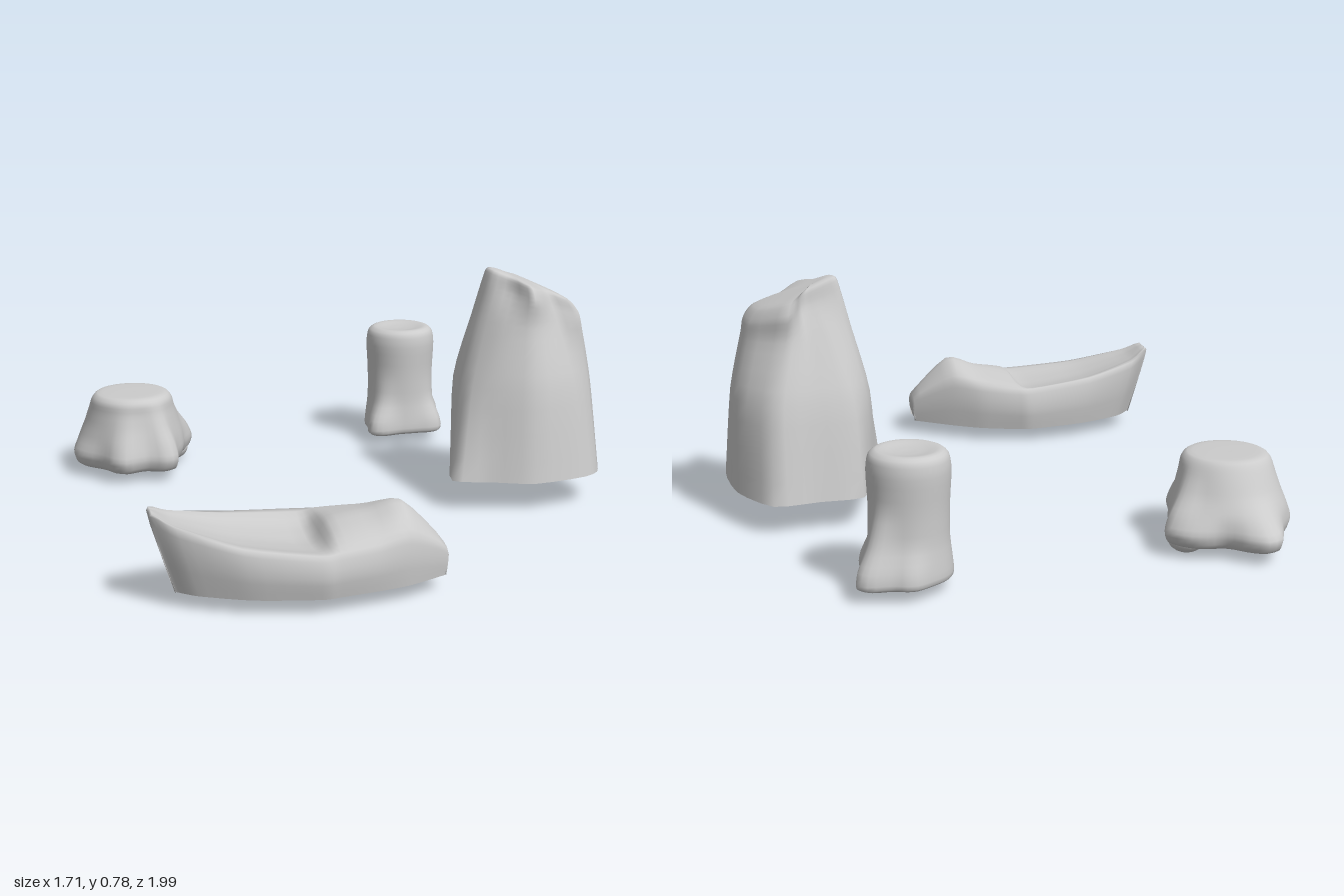
import * as THREE from 'three';
import { mergeVertices } from 'three/addons/utils/BufferGeometryUtils.js';

const material = new THREE.MeshStandardMaterial({ color: 0xcccccc, side: THREE.DoubleSide });
const V = (x, y, z) => new THREE.Vector3(x, y, z);

// Samples a soft curve through the points, steps per span.
function soften(points, closed, steps) {
  const curve = new THREE.CatmullRomCurve3(points, closed, 'catmullrom', 0.35);
  const n = (closed ? points.length : points.length - 1) * steps;
  return Array.from({ length: closed ? n : n + 1 }, (_, i) => curve.getPoint(i / n));
}

// Smooth skin over cross-sections that share one point count.
function skin(name, sections, closed, across = 3, along = 4) {
  const rows = sections.map((s) => soften(s, closed, across));
  const cols = rows[0].map((_, j) => soften(rows.map((r) => r[j]), false, along));
  const nc = cols.length, nr = cols[0].length;
  const position = [], index = [];
  for (let i = 0; i < nr; i++) for (let j = 0; j < nc; j++) position.push(...cols[j][i].toArray());
  for (let i = 0; i < nr - 1; i++) {
    for (let j = 0; j < (closed ? nc : nc - 1); j++) {
      const k = (j + 1) % nc;
      const a = i * nc + j, b = (i + 1) * nc + j, c = i * nc + k, d = (i + 1) * nc + k;
      index.push(a, b, c, b, d, c);
    }
  }
  let geometry = new THREE.BufferGeometry();
  geometry.setAttribute('position', new THREE.Float32BufferAttribute(position, 3));
  geometry.setIndex(index);
  geometry = mergeVertices(geometry, 1e-5);
  geometry.computeVertexNormals();
  const mesh = new THREE.Mesh(geometry, material);
  mesh.name = name;
  return mesh;
}

// Tent: five-cornered cloth, open below, leaning to a knobbly slanted crown.
function tent() {
  const ring = (y, tilt, pts) => pts.map(([x, z]) => V(x, y - tilt * (x - 0.6), z));
  const base = [[0.85, 0.08], [0.78, 0.16], [0.59, 0.205], [0.45, 0.155], [0.33, 0.11],
    [0.38, -0.1], [0.44, -0.28], [0.58, -0.3], [0.73, -0.32], [0.83, -0.15]];
  const waist = [[0.83, 0.03], [0.75, 0.11], [0.6, 0.16], [0.47, 0.1], [0.395, 0.02],
    [0.395, -0.13], [0.46, -0.23], [0.6, -0.25], [0.72, -0.26], [0.82, -0.13]];
  const shoulder = [[0.79, 0.05], [0.71, 0.05], [0.61, 0.1], [0.52, 0.05], [0.46, -0.03],
    [0.45, -0.11], [0.52, -0.16], [0.6, -0.17], [0.67, -0.2], [0.78, -0.09]];
  const crown = [[0.78, 0.04], [0.69, 0.025], [0.61, 0.1], [0.555, 0.01], [0.49, -0.03],
    [0.48, -0.1], [0.56, -0.12], [0.61, -0.13], [0.66, -0.205], [0.77, -0.08]];
  const shrink = (pts, s, cx, cz) => pts.map(([x, z]) => [cx + (x - cx) * s, cz + (z - cz) * s]);
  return skin('tent', [
    ring(0.1, 0, base),
    ring(0.4, 0, waist),
    ring(0.6, 0.1, shoulder),
    ring(0.69, 0.3, crown),
    ring(0.735, 0.38, shrink(crown, 0.84, 0.58, -0.06)),
    ring(0.745, 0.4, shrink(crown, 0.45, 0.56, -0.07)),
    ring(0.745, 0.4, shrink(crown, 0, 0.56, -0.07)),
  ], true);
}

// Boat: raised bow, sunken deck, step up to a humped stern, open below.
function boat() {
  // Stations: keel x, rim x, back z, front z, back rim y, deck y, front rim y.
  const stations = [
    [-0.7, -0.7, 0.74, 0.84, 0.046, 0.046, 0.046],
    [-0.7, -0.77, 0.75, 0.83, 0.27, 0.28, 0.27],
    [-0.64, -0.7, 0.68, 0.885, 0.25, 0.245, 0.25],
    [-0.49, -0.52, 0.605, 0.96, 0.215, 0.185, 0.2],
    [-0.3, -0.3, 0.562, 1.0, 0.195, 0.155, 0.175],
    [-0.24, -0.24, 0.57, 0.99, 0.195, 0.22, 0.178],
    [-0.12, -0.12, 0.61, 0.962, 0.205, 0.245, 0.185],
    [-0.02, -0.02, 0.67, 0.93, 0.21, 0.27, 0.195],
    [0.1, 0.108, 0.76, 0.86, 0.125, 0.135, 0.125],
    [0.1, 0.1, 0.76, 0.86, 0.046, 0.046, 0.046],
  ];
  return skin('boat', stations.map(([xb, xt, zb, zf, yb, yd, yf]) => {
    const w = zf - zb, low = 0.045, xm = (xb + xt) / 2;
    return [
      V(xb, low, zf - 0.03 * w), V(xm, (low + yf) / 2, zf), V(xt, yf, zf - 0.04 * w),
      V(xt, yf * 0.35 + yd * 0.65, zf - 0.25 * w), V(xt, yd, zf - 0.5 * w),
      V(xt, yb * 0.35 + yd * 0.65, zb + 0.25 * w),
      V(xt, yb, zb + 0.04 * w), V(xm, (low + yb) / 2, zb), V(xb, low, zb + 0.03 * w),
    ];
  }), false);
}

// Stump: profile rows [y, radius, root strength, z shift];
// roots [angle in degrees, length, angular width, height].
function stump(name, cx, cz, profile, roots) {
  const n = 32;
  return skin(name, profile.map(([y, r, k, dz = 0]) => Array.from({ length: n }, (_, j) => {
    const a = (j / n) * Math.PI * 2;
    let radius = r;
    for (const [deg, length, width, height] of roots) {
      const d = a - THREE.MathUtils.degToRad(deg);
      const off = Math.atan2(Math.sin(d), Math.cos(d)) / THREE.MathUtils.degToRad(width);
      const rise = Math.max(0, y - 0.06) / height;
      radius += k * length * Math.exp(-off * off - rise * rise);
    }
    return V(cx + radius * Math.cos(a), y, cz + dz + radius * Math.sin(a));
  })), true, 2, 3);
}

export function createModel() {
  const group = new THREE.Group();
  group.name = 'campSet';

  // Broad low stump with many knobbly roots
  const broad = new THREE.Group();
  broad.name = 'broadStump';
  broad.add(stump('broadStumpTrunk', -0.65, -0.63, [
    [0.025, 0, 0], [0.025, 0.13, 0.6], [0.04, 0.17, 0.95], [0.08, 0.185, 1], [0.13, 0.18, 1],
    [0.18, 0.165, 1, 0.01], [0.23, 0.15, 1, 0.02], [0.265, 0.14, 0.6, 0.03],
    [0.285, 0.12, 0, 0.03], [0.287, 0.06, 0, 0.03], [0.287, 0, 0, 0.03],
  ], [
    [-105, 0.09, 20, 0.07], [165, 0.03, 28, 0.06], [104, 0.06, 18, 0.12],
    [62, 0.075, 15, 0.13], [-25, 0.065, 15, 0.12], [-48, 0.04, 14, 0.06],
  ]));
  const foot = new THREE.Mesh(new THREE.SphereGeometry(1, 20, 14), material);
  foot.name = 'broadStumpFoot';
  foot.scale.set(0.06, 0.045, 0.05);
  foot.position.set(-0.5, 0.045, -0.7);
  broad.add(foot);

  // Tall narrow stump with four flared roots
  const tall = stump('tallStump', 0.385, -0.835, [
    [0.03, 0, 0], [0.03, 0.1, 0.8], [0.045, 0.13, 1], [0.09, 0.128, 1], [0.16, 0.12, 1],
    [0.26, 0.12, 1], [0.36, 0.125, 0], [0.405, 0.118, 0], [0.422, 0.095, 0],
    [0.415, 0.05, 0], [0.412, 0, 0],
  ], [
    [134, 0.06, 20, 0.09], [-38, 0.08, 20, 0.12], [42, 0.04, 20, 0.08], [-82, 0.03, 22, 0.07],
  ]);

  group.add(tent(), boat(), broad, tall);
  return group;
}
